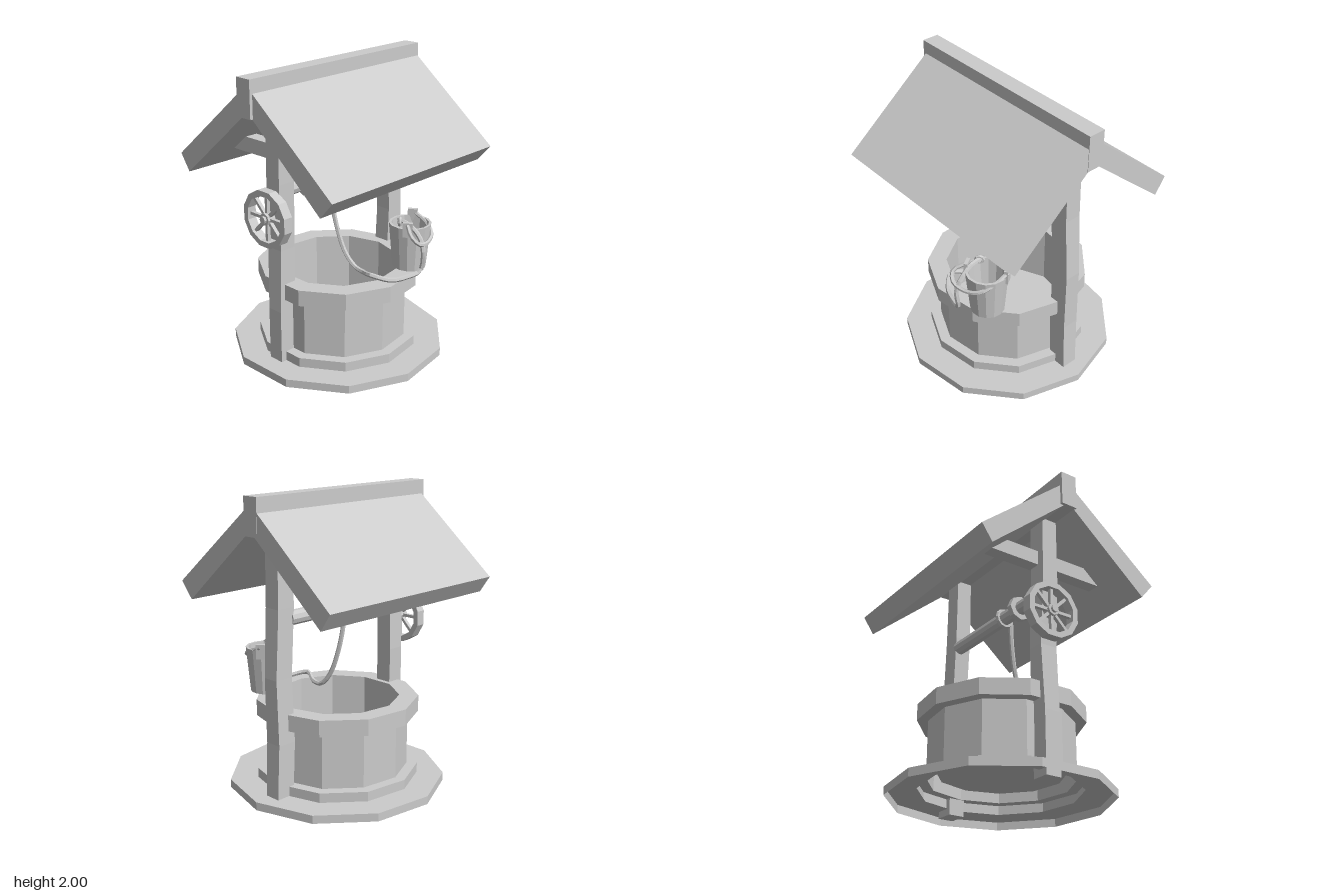
import * as THREE from 'three';

const V = (x, y, z) => new THREE.Vector3(x, y, z);

export function createModel() {
  const group = new THREE.Group();
  const flat = new THREE.MeshStandardMaterial({ color: 0xcccccc, flatShading: true });
  const thin = new THREE.MeshStandardMaterial({ color: 0xcccccc, flatShading: true, side: THREE.DoubleSide });

  function add(name, geometry, material = flat, parent = group) {
    const mesh = new THREE.Mesh(geometry, material);
    mesh.name = name;
    parent.add(mesh);
    return mesh;
  }
  function box(name, x0, x1, y0, y1, z0, z1) {
    const m = add(name, new THREE.BoxGeometry(x1 - x0, y1 - y0, z1 - z0));
    m.position.set((x0 + x1) / 2, (y0 + y1) / 2, (z0 + z1) / 2);
    return m;
  }
  // Lathe from [radius, height] pairs, first corner on +x
  const lathe = (points, sides) =>
    new THREE.LatheGeometry(points.map(p => new THREE.Vector2(...p)), sides, Math.PI / 2);
  // Rod along x
  function rod(name, x0, x1, r, sides, y, z, parent = group) {
    const m = add(name, new THREE.CylinderGeometry(r, r, x1 - x0, sides).rotateZ(Math.PI / 2), flat, parent);
    m.position.set((x0 + x1) / 2, y, z);
    return m;
  }
  function rope(name, points, r, steps) {
    return add(name, new THREE.TubeGeometry(new THREE.CatmullRomCurve3(points, false, 'centripetal'), steps, r, 6), thin);
  }

  // Eleven-sided ground slab, hollow underneath
  add('groundSlab', lathe([[0.732, 0], [0.732, 0.055], [0.53, 0.055]], 11), thin).position.x = 0.023;
  // Well wall with foot, rim, shaft and floor
  add('wellWall', lathe([
    [0.549, 0.055], [0.549, 0.12], [0.477, 0.12], [0.477, 0.5], [0.549, 0.5],
    [0.549, 0.61], [0.42, 0.61], [0.42, 0.17], [0, 0.17],
  ], 11), thin).position.x = 0.017;

  // Slightly bent posts, from [y, inner x, outer x, back z, front z] sections
  function post(name, sections) {
    const geo = new THREE.BoxGeometry(1, 1, 1, 1, sections.length - 1, 1);
    const p = geo.attributes.position;
    for (let i = 0; i < p.count; i++) {
      const s = sections[Math.round((p.getY(i) + 0.5) * (sections.length - 1))];
      p.setXYZ(i, p.getX(i) < 0 ? s[1] : s[2], s[0], p.getZ(i) < 0 ? s[3] : s[4]);
    }
    add(name, geo);
  }
  post('leftPost', [
    [0.01, 0.505, 0.64, -0.08, 0.03], [0.42, 0.49, 0.625, -0.085, 0.03],
    [0.85, 0.5, 0.63, -0.075, 0.035], [1.3, 0.475, 0.605, -0.075, 0.04], [1.82, 0.475, 0.6, -0.07, 0.04],
  ]);
  post('rightPost', [
    [0.01, -0.55, -0.43, -0.08, 0.03], [0.42, -0.55, -0.42, -0.08, 0.03],
    [0.85, -0.535, -0.42, -0.09, 0.03], [1.3, -0.55, -0.42, -0.075, 0.04], [1.82, -0.55, -0.42, -0.07, 0.04],
  ]);

  // Roof slopes, [z, y] outlines extruded along x
  function roofPanel(name, outline) {
    const shape = new THREE.Shape(outline.map(([z, y]) => new THREE.Vector2(-z, y)));
    const geo = new THREE.ExtrudeGeometry(shape, { depth: 1.502, bevelEnabled: false });
    add(name, geo.rotateY(Math.PI / 2).translate(-0.745, 0, 0));
  }
  roofPanel('frontRoof', [[0.04, 1.915], [0.685, 1.4], [0.59, 1.29], [0.03, 1.765]]);
  roofPanel('backRoof', [[-0.065, 1.91], [-0.672, 1.4], [-0.597, 1.29], [-0.04, 1.765]]);
  box('ridgeBeam', -0.765, 0.76, 1.76, 2, -0.072, 0.043);
  box('roofTie', -0.5, -0.41, 1.43, 1.53, -0.45, 0.44);

  // Winding axle with collar
  rod('axle', -0.43, 0.49, 0.048, 10, 1.225, -0.04);
  rod('axleCollar', -0.265, -0.225, 0.085, 8, 1.225, -0.04);

  // Spoked crank wheel outside the right post
  const wheel = new THREE.Group();
  wheel.name = 'crankWheel';
  wheel.position.set(-0.578, 1.07, -0.04);
  group.add(wheel);
  const h = 0.033;
  add('wheelRim', lathe([[0.155, -h], [0.193, -h], [0.193, h], [0.155, h], [0.155, -h]], 12)
    .rotateY(Math.PI / 12).rotateZ(Math.PI / 2), thin, wheel);
  rod('wheelHub', -0.03, 0.03, 0.04, 8, 0, 0, wheel);
  rod('wheelPin', -0.047, 0.08, 0.024, 8, 0, 0, wheel);
  for (let i = 0; i < 8; i++) {
    add('wheelSpoke', new THREE.BoxGeometry(0.025, 0.14, 0.02).translate(0, 0.095, 0), flat, wheel)
      .rotation.x = i * Math.PI / 4;
  }

  // Bucket on the rim, with two ears
  const bucket = new THREE.Group();
  bucket.name = 'bucket';
  bucket.position.set(0.287, 0.61, 0.405);
  bucket.rotation.y = 0.57;
  group.add(bucket);
  add('bucketBody', lathe([[0, 0], [0.113, 0], [0.142, 0.31], [0.125, 0.31], [0.1, 0.03], [0, 0.03]], 14), thin, bucket);
  for (const side of [-1, 1]) {
    add('bucketEar', new THREE.BoxGeometry(0.025, 0.1, 0.065), flat, bucket)
      .position.set(side * 0.133, 0.305, 0);
  }

  // Bail handle fallen over the front of the bucket
  rope('bucketHandle', [
    V(0.41, 0.945, 0.325), V(0.405, 0.9, 0.44), V(0.36, 0.855, 0.53), V(0.26, 0.83, 0.575),
    V(0.16, 0.85, 0.585), V(0.125, 0.9, 0.55), V(0.17, 0.945, 0.48),
  ], 0.014, 18);

  // Rope: loop on the axle, down to the rim, round to the bucket
  const loop = add('ropeLoop', new THREE.TorusGeometry(0.057, 0.015, 6, 12).rotateY(Math.PI / 2));
  loop.position.set(-0.075, 1.225, -0.04);
  rope('rope', [
    V(-0.075, 1.24, 0.01), V(-0.065, 1.05, 0.025), V(-0.05, 0.87, 0.06), V(-0.035, 0.71, 0.12),
    V(-0.02, 0.63, 0.19), V(-0.04, 0.625, 0.29), V(-0.09, 0.655, 0.4), V(-0.01, 0.625, 0.5),
    V(0.1, 0.63, 0.55), V(0.195, 0.65, 0.575), V(0.2, 0.8, 0.59), V(0.205, 0.88, 0.55),
    V(0.2, 0.945, 0.46), V(0.2, 0.95, 0.38),
  ], 0.016, 40);
  const knot = add('ropeKnot', new THREE.TorusGeometry(0.024, 0.012, 6, 8));
  knot.position.set(0.195, 0.945, 0.39);
  knot.rotation.y = 0.8;

  return group;
}
